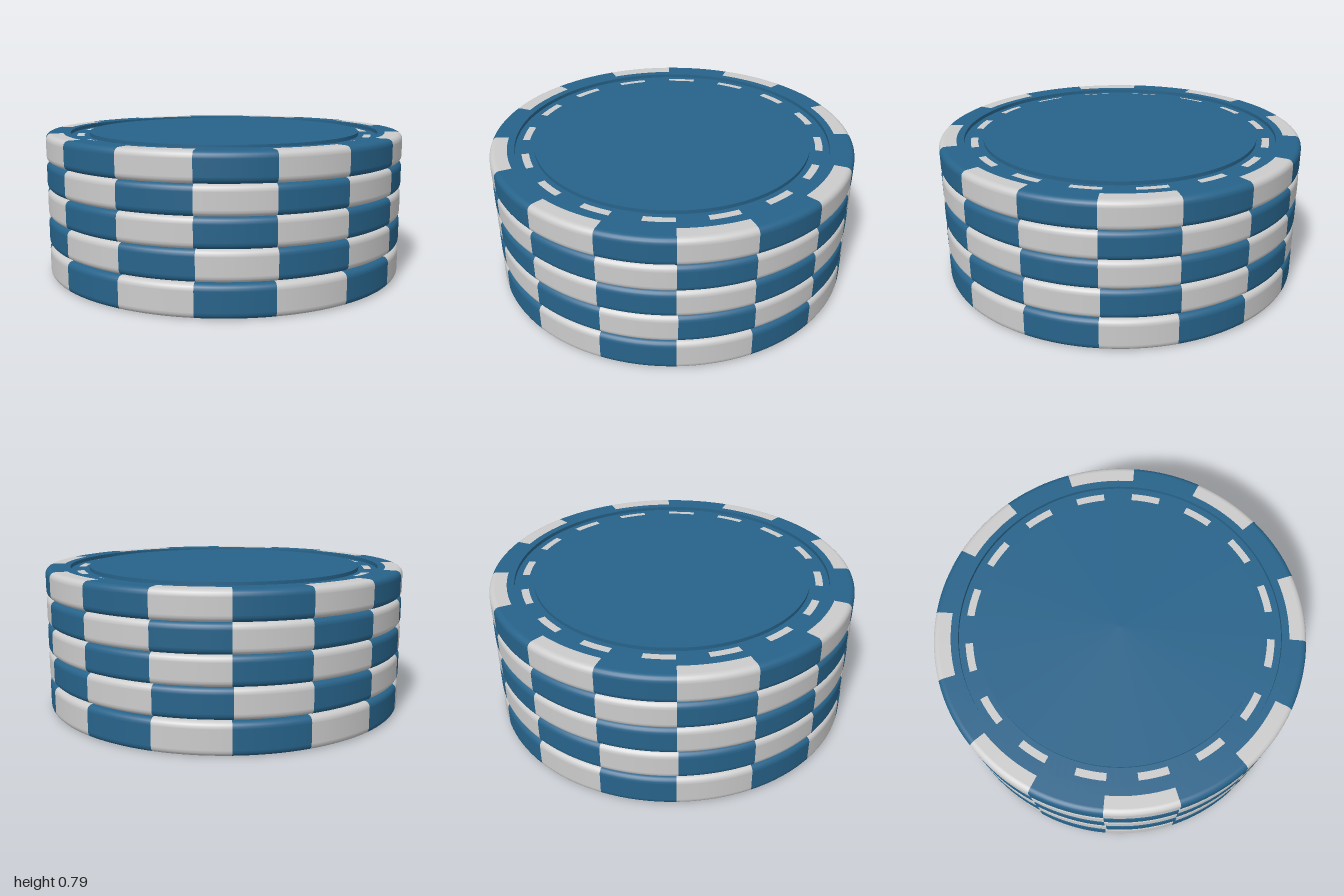
import * as THREE from 'three';
import { mergeGeometries, toCreasedNormals } from 'three/addons/utils/BufferGeometryUtils.js';

const blue = new THREE.MeshStandardMaterial({ color: 0x27638a });
const grey = new THREE.MeshStandardMaterial({ color: 0xcccccc });

const STEP = Math.PI / 8;      // 16 sectors around each chip
const R_DISC = 0.76, R_GROOVE = 0.865, R_RIM = 0.905, R_OUT = 1;
const DEPTH = 0.02, FILLET = 0.03;

const points = (list) => list.map(([r, y]) => new THREE.Vector2(r, y));

// Rounded outer rim, from the underside out, up and back in
function rimProfile(h) {
  const list = [[R_RIM, 0], [R_OUT - FILLET - 0.003, 0]];
  const c = R_OUT - FILLET;
  for (let i = 0; i <= 5; i++) {
    const a = (i / 5) * Math.PI / 2;
    list.push([c + FILLET * Math.sin(a), FILLET * (1 - Math.cos(a))]);
  }
  list.push([R_OUT, FILLET + 0.003]);
  const upper = list.map(([r, y]) => [r, h - y]).reverse();
  return points([...list, ...upper]);
}

// One lathe piece repeated in the sectors start, start + every, ...
function sectors(profile, start, every, length, segments) {
  const parts = [];
  for (let k = start; k < 16; k += every) {
    parts.push(new THREE.LatheGeometry(profile, segments, k * STEP + (every === 2 ? -STEP / 2 : 0), length));
  }
  return mergeGeometries(parts);
}

function addMesh(group, name, geometry, material) {
  const mesh = new THREE.Mesh(geometry, material);
  mesh.name = name;
  group.add(mesh);
}

function createChip(h) {
  const chip = new THREE.Group();

  // Alternating rim blocks
  const rim = rimProfile(h);
  addMesh(chip, 'greyRimBlocks', sectors(rim, 0, 2, STEP, 8), grey);
  addMesh(chip, 'blueRimBlocks', sectors(rim, 1, 2, STEP, 8), blue);

  // Faces: raised centre disc, recessed ring, inner rim band
  const face = [[0, 0], [R_DISC, 0], [R_DISC, DEPTH], [R_GROOVE, DEPTH], [R_GROOVE, 0], [R_RIM, 0]];
  const top = face.map(([r, y]) => [r, h - y]).reverse();
  for (const [name, list] of [['bottomFace', face], ['topFace', top]]) {
    addMesh(chip, name, toCreasedNormals(new THREE.LatheGeometry(points(list), 128), 0.5), blue);
  }

  // Dashes lying in the recessed rings
  const lift = DEPTH - 0.002;
  const dashTop = points([[0.83, h - lift], [0.79, h - lift]]);
  const dashBottom = points([[0.79, lift], [0.83, lift]]);
  addMesh(chip, 'topDashes', sectors(dashTop, 0, 1, STEP / 2, 4), grey);
  addMesh(chip, 'bottomDashes', sectors(dashBottom, 0, 1, STEP / 2, 4), grey);
  return chip;
}

export function createModel() {
  const model = new THREE.Group();
  model.name = 'chipStack';

  // [base height, thickness, turn]; every other chip is turned by one sector
  const stack = [
    [0, 0.17, 0],
    [0.177, 0.158, STEP + 0.008],
    [0.335, 0.153, 0],
    [0.488, 0.151, STEP],
    [0.639, 0.151, 0],
  ];
  stack.forEach(([y, h, turn], i) => {
    const chip = createChip(h);
    chip.name = `chip${i + 1}`;
    chip.position.y = y;
    chip.rotation.y = turn;
    model.add(chip);
  });
  return model;
}
